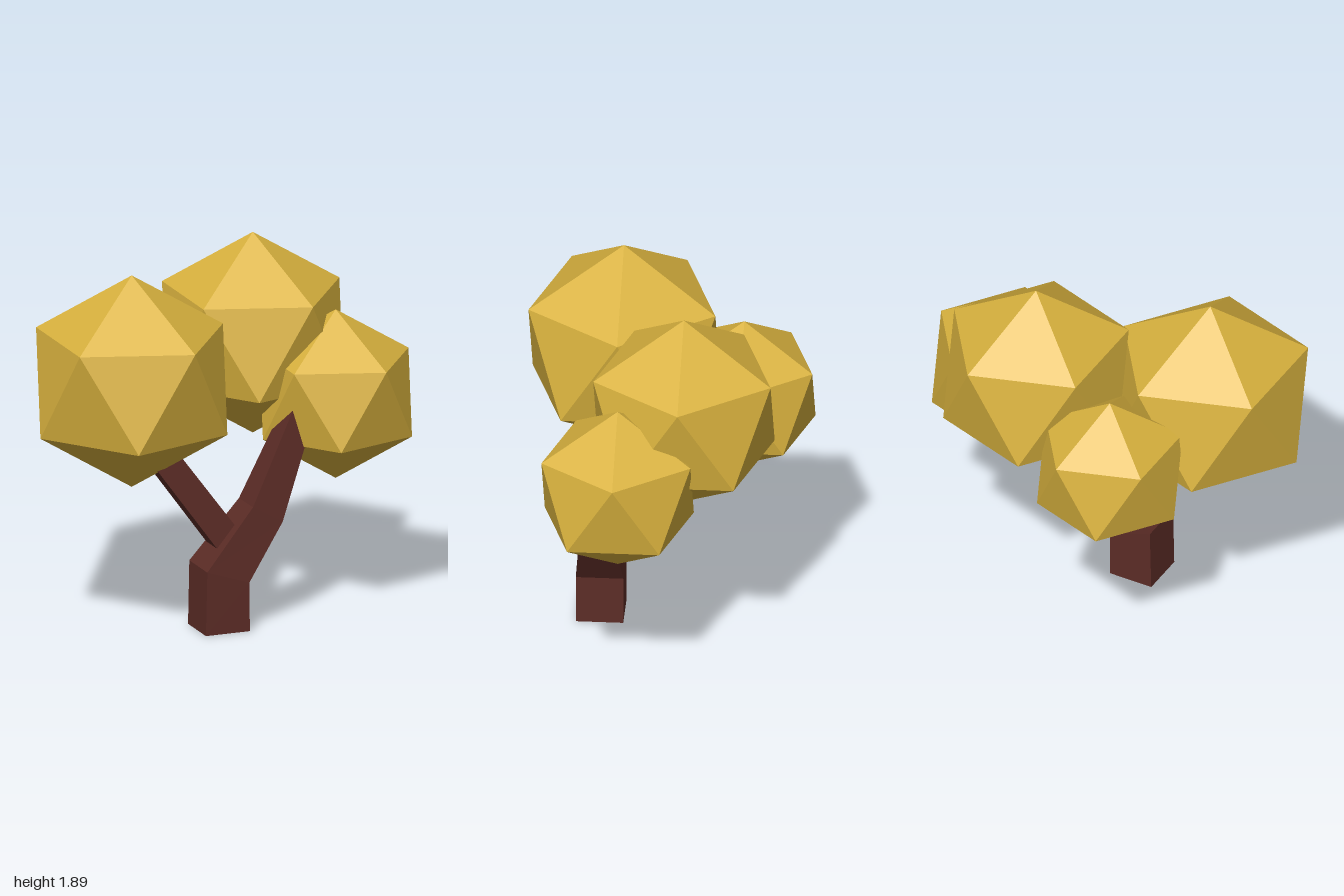
import * as THREE from 'three';

const bark = new THREE.MeshStandardMaterial({ color: 0x5c2c26, flatShading: true });
const leaf = new THREE.MeshStandardMaterial({ color: 0xd9b23e, flatShading: true });

// Square limb swept through sections [x, y, z, half width], mitred at each bend
function limb(name, sections, ref, startDir) {
  const pts = sections.map(([x, y, z]) => new THREE.Vector3(x, y, z));
  const dirs = pts.slice(1).map((p, i) => p.clone().sub(pts[i]).normalize());
  const last = pts.length - 1;
  const pos = [], index = [];
  pts.forEach((p, i) => {
    const t = i === 0 ? (startDir || dirs[0]).clone()
      : i === last ? dirs[i - 1].clone()
        : dirs[i - 1].clone().add(dirs[i]).normalize();
    const u = ref.clone().cross(t).normalize();
    const v = t.clone().cross(u);
    const h = sections[i][3];
    for (const [a, b] of [[1, 1], [-1, 1], [-1, -1], [1, -1]]) {
      pos.push(...p.clone().addScaledVector(u, a * h).addScaledVector(v, b * h).toArray());
    }
    if (i === last) return;
    for (let j = 0; j < 4; j++) {
      const a = i * 4 + j, b = i * 4 + (j + 1) % 4;
      index.push(a, b, b + 4, a, b + 4, a + 4);
    }
  });
  // End caps
  const e = last * 4;
  index.push(0, 2, 1, 0, 3, 2, e, e + 1, e + 2, e, e + 2, e + 3);
  const geo = new THREE.BufferGeometry();
  geo.setAttribute('position', new THREE.Float32BufferAttribute(pos, 3));
  geo.setIndex(index);
  geo.computeVertexNormals();
  const mesh = new THREE.Mesh(geo, bark);
  mesh.name = name;
  return mesh;
}

// Icosahedral leaf clump standing on one corner, an upper-ring corner towards +x
function clump(name, r, x, y, z) {
  const geo = new THREE.IcosahedronGeometry(r, 0);
  geo.rotateZ(Math.atan(2 / (1 + Math.sqrt(5))));
  geo.rotateY(Math.PI);
  const mesh = new THREE.Mesh(geo, leaf);
  mesh.name = name;
  mesh.position.set(x, y, z);
  return mesh;
}

export function createModel() {
  const tree = new THREE.Group();
  tree.name = 'tree';
  const X = new THREE.Vector3(1, 0, 0);
  const Y = new THREE.Vector3(0, 1, 0);
  const Z = new THREE.Vector3(0, 0, 1);

  // Trunk and its branches
  tree.add(
    limb('trunk', [
      [-0.075, 0, 0.33, 0.118],
      [-0.073, 0.29, 0.33, 0.119],
      [0.15, 0.585, 0.33, 0.092],
      [0.36, 1.08, 0.32, 0.06],
    ], Z, Y),
    limb('sideBranch', [
      [0.005, 0.395, 0.31, 0.072],
      [-0.456, 1.03, 0.27, 0.068],
    ], Z),
    limb('backBranch', [
      [-0.2, 0.7, 0.27, 0.048],
      [-0.23, 0.885, -0.35, 0.044],
    ], X),
  );

  // Foliage
  tree.add(
    clump('rightFoliage', 0.548, -0.51, 1.303, 0.247),
    clump('topFoliage', 0.52, 0.285, 1.372, -0.108),
    clump('leftFoliage', 0.437, 0.605, 1.102, 0.2),
    clump('backFoliage', 0.408, -0.28, 1.163, -0.369),
  );
  return tree;
}
